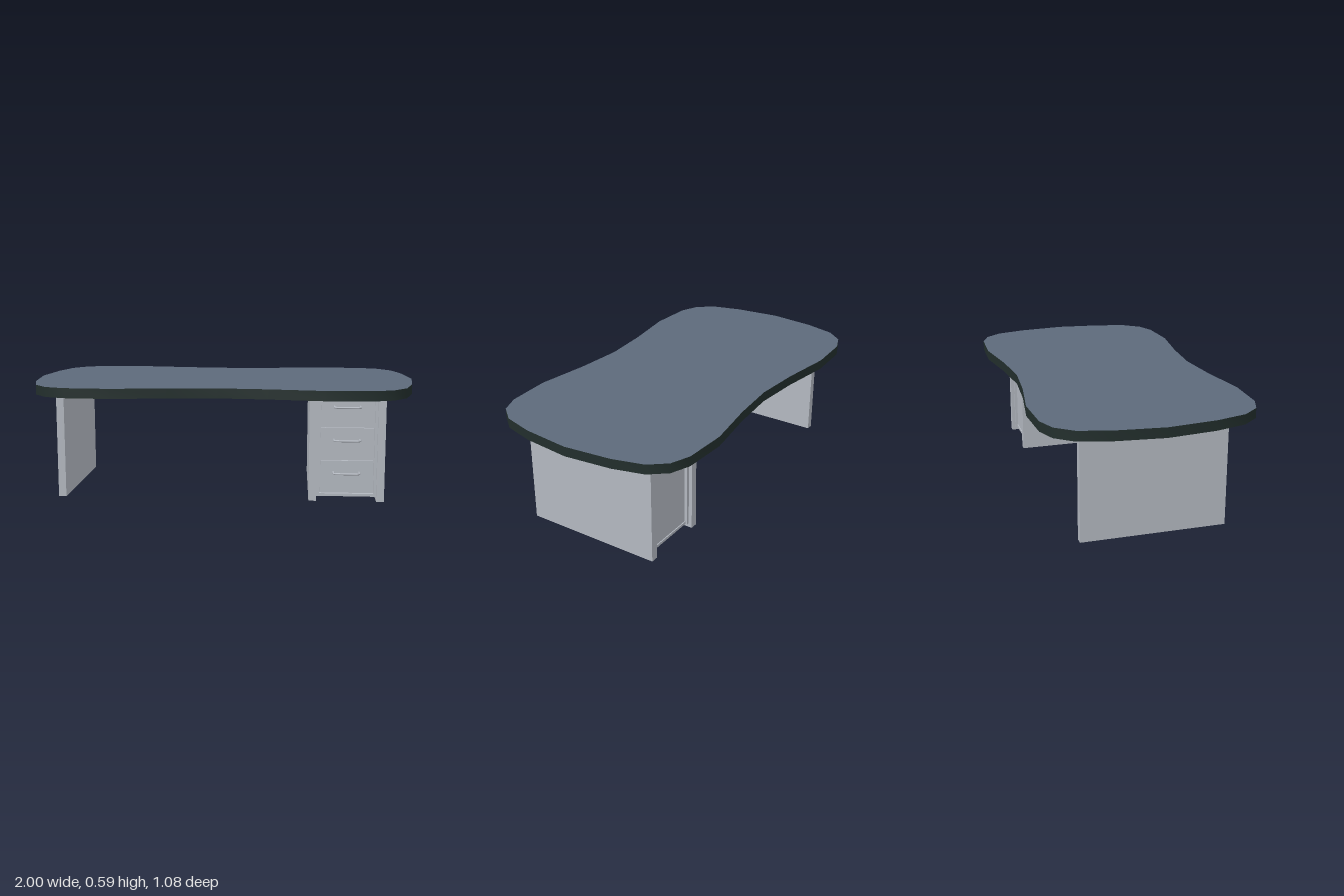
import * as THREE from 'three';
import { toCreasedNormals } from 'three/addons/utils/BufferGeometryUtils.js';

export function createModel() {
  const desk = new THREE.Group();
  desk.name = 'desk';

  const material = (name, color) => {
    const m = new THREE.MeshStandardMaterial({ color });
    m.name = name;
    return m;
  };
  const slate = material('slate', 0x5d6a7b);
  const darkEdge = material('darkEdge', 0x222e2c);
  const grey = material('grey', 0xb3b8c0);

  const add = (name, geometry, mat, parent = desk) => {
    const mesh = new THREE.Mesh(geometry, mat);
    mesh.name = name;
    parent.add(mesh);
    return mesh;
  };
  // Box given by its lower and upper corner
  const box = (name, x0, x1, y0, y1, z0, z1, parent) => {
    const g = new THREE.BoxGeometry(x1 - x0, y1 - y0, z1 - z0);
    g.translate((x0 + x1) / 2, (y0 + y1) / 2, (z0 + z1) / 2);
    return add(name, g, grey, parent);
  };

  // Desktop: a quarter outline mirrored into a waisted slab
  const q = [[1, 0], [0.973, 0.245], [0.93, 0.403], [0.86, 0.488], [0.76, 0.527],
    [0.53, 0.538], [0.25, 0.497], [0, 0.477]];
  const half = [...q, ...q.slice(0, -1).reverse().map(([x, z]) => [-x, z])];
  const outline = [...half, ...half.slice(1, -1).reverse().map(([x, z]) => [x, -z])];
  const shape = new THREE.Shape(outline.map(([x, z]) => new THREE.Vector2(x, z)));
  const slab = new THREE.ExtrudeGeometry(shape, { depth: 0.05, bevelEnabled: false });
  slab.rotateX(Math.PI / 2);
  slab.translate(0, 0.588, 0);
  add('desktop', toCreasedNormals(slab, 0.7), [slate, darkEdge]);

  // Three upright side panels
  const top = 0.538;
  box('rightPanel', -0.839, -0.8, 0, top, -0.363, 0.363);
  box('innerPanel', 0.455, 0.494, 0, top, -0.363, 0.363);
  box('leftPanel', 0.798, 0.837, 0, top, -0.363, 0.363);

  // Drawer cabinet between the two left panels
  const cabinet = new THREE.Group();
  cabinet.name = 'drawerCabinet';
  desk.add(cabinet);
  box('cabinetBody', 0.508, 0.784, 0.03, top, -0.33, 0.325, cabinet);
  box('cabinetBase', 0.494, 0.798, 0.022, 0.036, -0.335, 0.345, cabinet);
  for (const [x0, x1] of [[0.494, 0.508], [0.784, 0.798]]) {
    box('cabinetSide', x0, x1, 0.022, top, -0.345, 0.345, cabinet);
  }

  // Drawers with bent bar handles
  for (let i = 0; i < 3; i++) {
    const y = 0.043 + i * 0.169;
    const drawer = new THREE.Group();
    drawer.name = 'drawer' + (i + 1);
    cabinet.add(drawer);
    box('drawerFront', 0.513, 0.779, y, Math.min(y + 0.163, top), 0.32, 0.34, drawer);
    const hy = 0.147 + i * 0.169;
    const path = new THREE.CurvePath();
    const pts = [[0.58, 0.335], [0.58, 0.38], [0.59, 0.39], [0.7, 0.39], [0.71, 0.38], [0.71, 0.335]]
      .map(([x, z]) => new THREE.Vector3(x, hy, z));
    for (let k = 0; k < pts.length - 1; k++) path.add(new THREE.LineCurve3(pts[k], pts[k + 1]));
    add('drawerHandle', new THREE.TubeGeometry(path, 40, 0.005, 8, false), grey, drawer);
  }

  return desk;
}
